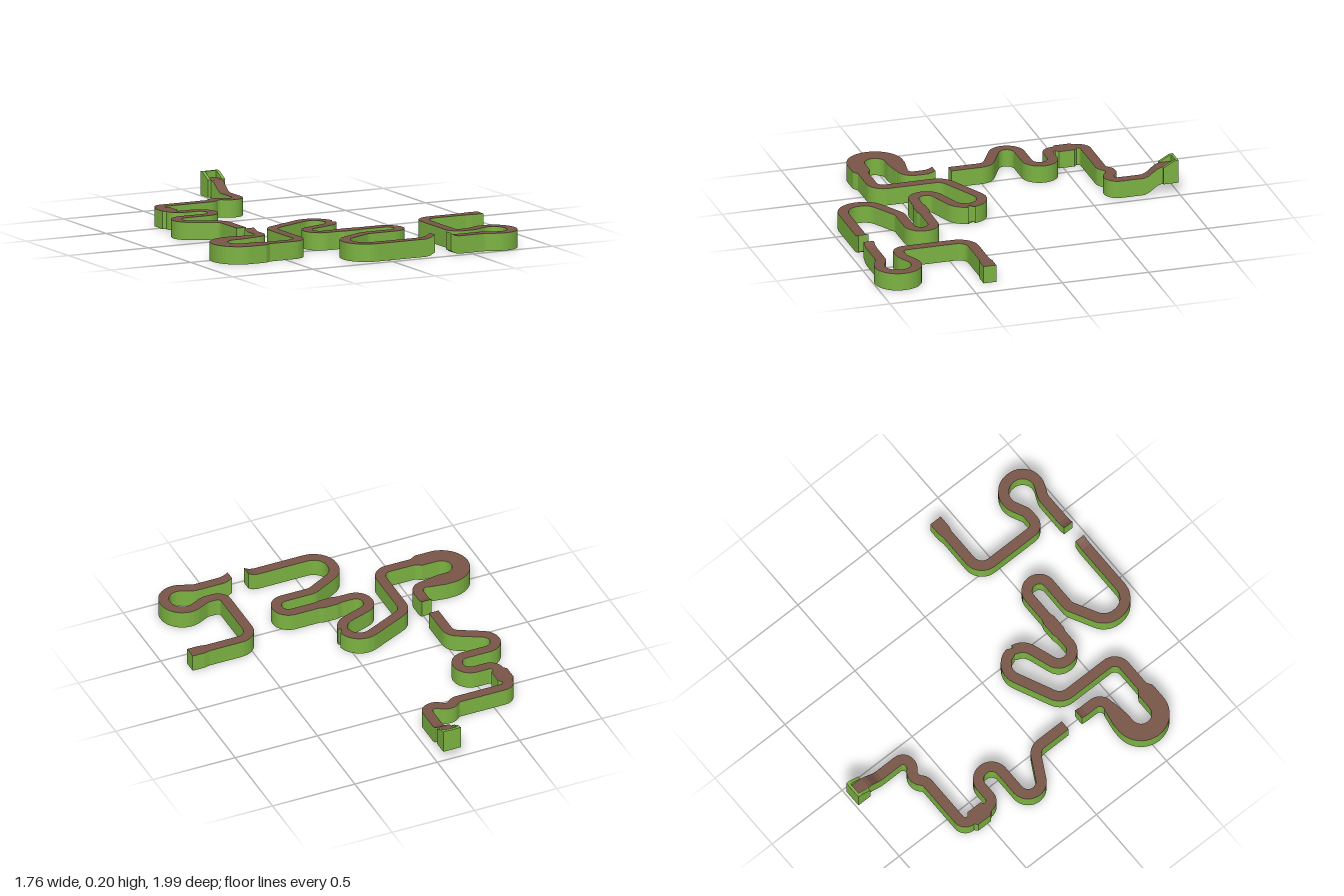
import * as THREE from 'three';

const H = 0.1;   // height of the track walls
const W = 0.059; // usual track width

// Waypoints: [x, z, corner radius, width, raise]
const upperPath = [
  [-0.09, -0.985, 0, 0.07, 0.056], [-0.09, -0.91, 0, 0.068, 0.056], [-0.09, -0.885, 0, 0.064, 0.047],
  [-0.09, -0.86, 0, 0.062, 0.028], [-0.09, -0.835, 0, W, 0.009], [-0.09, -0.81],
  [-0.09, -0.63, 0.048], [-0.161, -0.63, 0.048], [-0.198, -0.664, 0.047], [-0.241, -0.664, 0.047], [-0.278, -0.63, 0.048],
  [-0.614, -0.63, 0.045], [-0.614, -0.582], [-0.614, -0.566, 0, 0.094], [-0.614, -0.476, 0, 0.094], [-0.614, -0.46],
  [-0.614, -0.413, 0.045], [-0.426, -0.413, 0.072], [-0.426, -0.267, 0.072],
  [-0.712, -0.267, 0.073], [-0.712, -0.15, 0.073], [-0.511, -0.042, 0.07], [-0.511, 0.175],
];
const middlePath = [
  [-0.511, 0.27, 0, W, 0.014], [-0.511, 0.29, 0, W, 0.005], [-0.511, 0.312],
  [-0.511, 0.434, 0.058], [-0.58, 0.434, 0, 0.068], [-0.68, 0.434, 0, 0.1],
  [-0.833, 0.434, 0.108, 0.1], [-0.833, 0.651, 0.108, 0.1], [-0.632, 0.651, 0, 0.1], [-0.6, 0.651],
  [-0.378, 0.651, 0.069], [-0.378, 0.259, 0.085], [0.013, 0.076, 0.095], [0.013, 0.291, 0.095],
  [-0.222, 0.372, 0.071], [-0.222, 0.497, 0.07],
  [-0.082, 0.497], [-0.056, 0.497, 0, 0.074], [0.024, 0.497, 0, 0.074], [0.05, 0.497],
  [0.262, 0.497, 0.067], [0.262, 0.634, 0.067], [0.019, 0.634, 0.06],
  [-0.183, 0.742, 0.11], [-0.183, 0.929, 0.11],
  [0.23, 0.929], [0.26, 0.929, 0, W, 0.006], [0.286, 0.929, 0, W, 0.02],
];
const lowerPath = [
  [0.386, 0.929, 0, W, 0.02], [0.41, 0.929, 0, W, 0.006], [0.435, 0.929],
  [0.606, 0.929, 0.07], [0.807, 1.018, 0.099], [0.807, 0.698, 0.099], [0.595, 0.802, 0.07],
  [0.489, 0.802, 0.048], [0.489, 0.381, 0.085],
  [0.77, 0.381], [0.805, 0.381, 0, 0.074], [0.876, 0.381, 0, 0.074],
];

// Round the corners of a waypoint list into centre-line samples
function samplePath(points) {
  const out = [];
  points.forEach(([x, z, r = 0, w = W, raise = 0], i) => {
    const p = new THREE.Vector2(x, z);
    if (!r) { out.push({ p, w, raise }); return; }
    const d0 = p.clone().sub(new THREE.Vector2(...points[i - 1])).normalize();
    const d1 = new THREE.Vector2(...points[i + 1]).sub(p).normalize();
    const turn = Math.atan2(d0.cross(d1), d0.dot(d1));
    const side = Math.sign(turn);
    const start = p.clone().addScaledVector(d0, -r * Math.tan(Math.abs(turn) / 2));
    const centre = new THREE.Vector2(-d0.y, d0.x).multiplyScalar(side * r).add(start);
    const steps = Math.max(3, Math.ceil(Math.abs(turn) / 0.17));
    for (let k = 0; k <= steps; k++) {
      out.push({ p: start.clone().rotateAround(centre, turn * k / steps), w, raise });
    }
  });
  return out;
}

// Four corners of the cross-section at each sample: top left, top right, bottom right, bottom left
function crossSections(samples) {
  return samples.map(({ p, w, raise }, i) => {
    const dir = new THREE.Vector2();
    if (i > 0) dir.add(p.clone().sub(samples[i - 1].p).normalize());
    if (i < samples.length - 1) dir.add(samples[i + 1].p.clone().sub(p).normalize());
    dir.normalize().multiplyScalar(w / 2);
    const corner = (s, y) => [p.x + s * dir.y, y + raise, p.y - s * dir.x];
    return [corner(1, H), corner(-1, H), corner(-1, 0), corner(1, 0)];
  });
}

function quadMesh(name, quads, material) {
  const pos = [];
  for (const [a, b, c, d] of quads) pos.push(...a, ...b, ...c, ...a, ...c, ...d);
  const geo = new THREE.BufferGeometry();
  geo.setAttribute('position', new THREE.Float32BufferAttribute(pos, 3));
  geo.computeVertexNormals();
  const mesh = new THREE.Mesh(geo, material);
  mesh.name = name;
  return mesh;
}

function buildTrack(name, points, green, brown) {
  const rings = crossSections(samplePath(points));
  const strip = (a) => rings.slice(1).map((r, i) => {
    const q = rings[i], b = (a + 1) % 4;
    return [q[a], q[b], r[b], r[a]];
  });
  const first = rings[0], last = rings[rings.length - 1];
  const caps = [[first[0], first[3], first[2], first[1]], last];
  const group = new THREE.Group();
  group.name = name;
  group.add(
    quadMesh('trackSurface', strip(0), brown),
    quadMesh('trackBody', [...strip(1), ...strip(2), ...strip(3), ...caps], green),
  );
  return group;
}

// Raised starting box: two sloping side walls and a back wall
function buildStartBox(green) {
  const group = new THREE.Group();
  group.name = 'startBox';
  const profile = new THREE.Shape([[0.915, 0.06], [1, 0.06], [1, 0.196], [0.975, 0.192], [0.915, 0.158]]
    .map(([x, y]) => new THREE.Vector2(x, y)));
  const t = 0.018;
  for (const x of [-0.143, -0.037 - t]) {
    const wall = new THREE.Mesh(new THREE.ExtrudeGeometry(profile, { depth: t, bevelEnabled: false }), green);
    wall.name = 'startBoxSide';
    wall.rotation.y = Math.PI / 2;
    wall.position.x = x;
    group.add(wall);
  }
  const back = new THREE.Mesh(new THREE.BoxGeometry(0.07, 0.135, 0.015), green);
  back.name = 'startBoxBack';
  back.position.set(-0.09, 0.1275, -0.9925);
  group.add(back);
  return group;
}

export function createModel() {
  const green = new THREE.MeshStandardMaterial({ color: 0x7cb342 });
  green.name = 'grass green';
  const brown = new THREE.MeshStandardMaterial({ color: 0x795548 });
  brown.name = 'earth brown';

  const model = new THREE.Group();
  model.name = 'windingTrack';
  model.add(
    buildTrack('upperTrack', upperPath, green, brown),
    buildTrack('middleTrack', middlePath, green, brown),
    buildTrack('lowerTrack', lowerPath, green, brown),
    buildStartBox(green),
  );
  return model;
}
